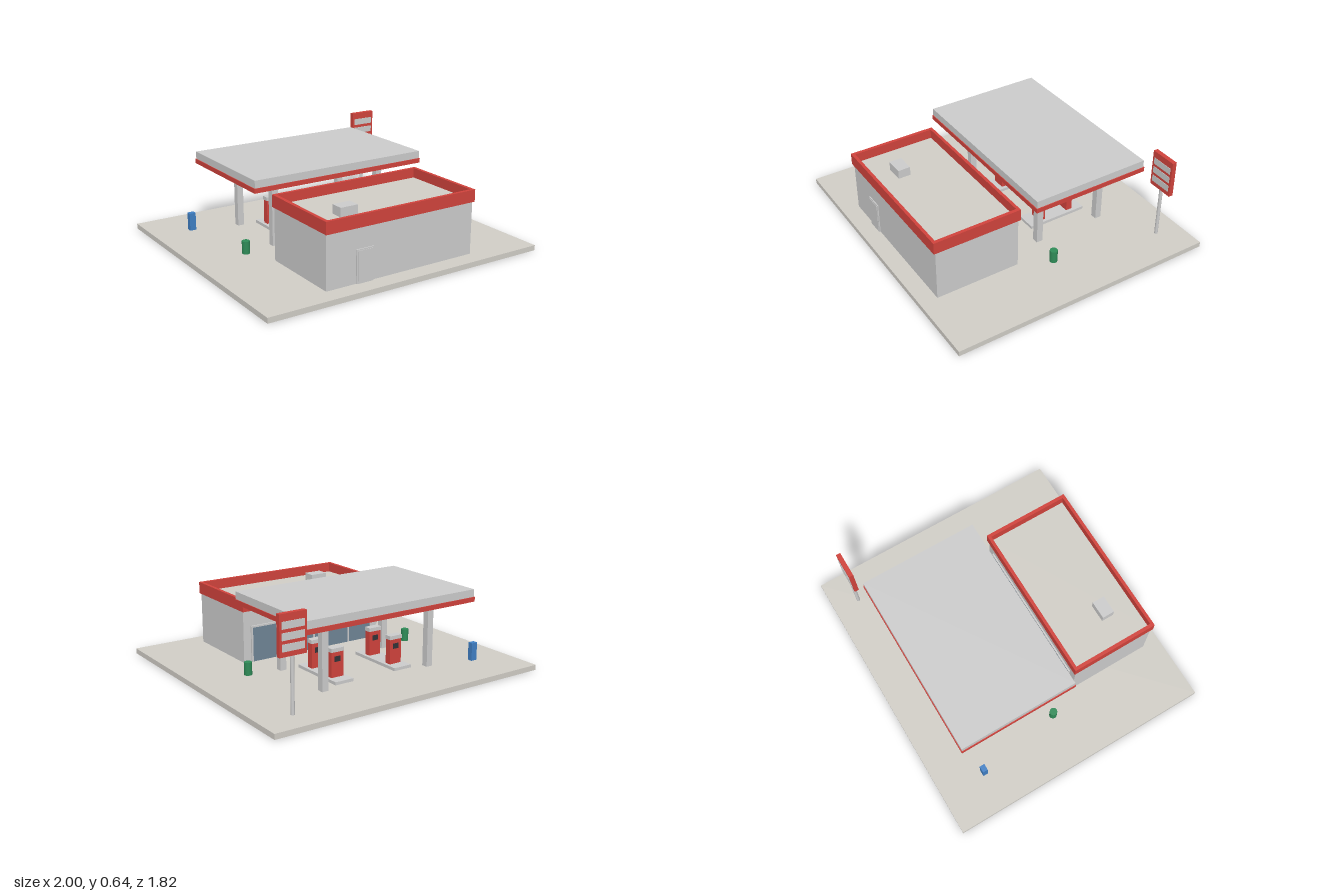
import * as THREE from 'three';

const mat = (color) => new THREE.MeshStandardMaterial({ color });

export function createModel() {
  const root = new THREE.Group();
  root.name = 'fuelStation';
  const grey = mat(0xcccccc), red = mat(0xd0433c), slab = mat(0xd0cdc6), green = mat(0x2e8b57),
    blue = mat(0x3f7fc4), glass = mat(0x6f8496), dark = mat(0x333338);

  const group = (name) => {
    const g = new THREE.Group();
    g.name = name;
    root.add(g);
    return g;
  };
  // box given by its limits on each axis
  const box = (parent, name, m, x0, x1, y0, y1, z0, z1) => {
    const b = new THREE.Mesh(new THREE.BoxGeometry(x1 - x0, y1 - y0, z1 - z0), m);
    b.position.set((x0 + x1) / 2, (y0 + y1) / 2, (z0 + z1) / 2);
    b.name = name;
    parent.add(b);
    return b;
  };
  const cylinder = (parent, name, m, r, y0, y1, x, z, sides) => {
    const c = new THREE.Mesh(new THREE.CylinderGeometry(r, r, y1 - y0, sides), m);
    c.position.set(x, (y0 + y1) / 2, z);
    c.name = name;
    parent.add(c);
    return c;
  };
  const G = 0.035; // ground level on top of the slab

  box(root, 'groundSlab', slab, -1, 1, 0, G, -0.908, 0.908);

  // Shop building
  const shop = group('shop');
  box(shop, 'walls', grey, -0.545, 0.545, G, 0.39, 0.21, 0.79);
  box(shop, 'roof', slab, -0.54, 0.54, 0.386, 0.4, 0.21, 0.79);

  // Parapet ring around the roof
  const ring = new THREE.Shape([[-0.553, -0.303], [0.553, -0.303], [0.553, 0.303], [-0.553, 0.303]]
    .map(([x, y]) => new THREE.Vector2(x, y)));
  ring.holes.push(new THREE.Path([[-0.53, -0.282], [-0.53, 0.282], [0.53, 0.282], [0.53, -0.282]]
    .map(([x, y]) => new THREE.Vector2(x, y))));
  const parapet = new THREE.Mesh(new THREE.ExtrudeGeometry(ring, { depth: 0.08, bevelEnabled: false }), red);
  parapet.rotation.x = -Math.PI / 2;
  parapet.position.set(0, 0.385, 0.5);
  parapet.name = 'parapet';
  shop.add(parapet);
  box(shop, 'roofUnit', grey, -0.338, -0.215, 0.4, 0.46, 0.545, 0.63);

  // Service door on the outer wall
  box(shop, 'serviceDoorFrame', grey, -0.336, -0.214, G, 0.25, 0.785, 0.797);
  box(shop, 'serviceDoor', grey, -0.327, -0.223, G, 0.241, 0.79, 0.8);

  // Glazed front facing the pumps
  box(shop, 'glazing', glass, -0.485, 0.485, G, 0.272, 0.203, 0.215);
  for (const x of [-0.485, -0.29, -0.09, 0, 0.09, 0.29, 0.485])
    box(shop, 'mullion', grey, x - 0.006, x + 0.006, G, 0.272, 0.199, 0.212);
  box(shop, 'glazingHead', grey, -0.491, 0.491, 0.268, 0.28, 0.199, 0.212);

  // Canopy on four columns
  const canopy = group('canopy');
  box(canopy, 'canopyRoof', grey, -0.636, 0.636, 0.5, 0.55, -0.682, 0.136);
  box(canopy, 'canopyBand', red, -0.641, 0.641, 0.469, 0.5, -0.687, 0.141);
  box(canopy, 'canopyCeiling', slab, -0.605, 0.605, 0.463, 0.47, -0.651, 0.105);
  for (const x of [-0.41, 0.41])
    for (const z of [-0.036, -0.51])
      box(canopy, 'column', grey, x - 0.022, x + 0.022, G, 0.464, z - 0.022, z + 0.022);

  // Two islands with two pumps each
  for (const x of [-0.23, 0.23]) {
    const island = group('pumpIsland');
    box(island, 'islandKerb', grey, x - 0.068, x + 0.068, G, 0.055, -0.48, -0.062);
    for (const z of [-0.163, -0.382]) {
      box(island, 'pumpBody', red, x - 0.045, x + 0.045, 0.055, 0.22, z - 0.022, z + 0.022);
      box(island, 'pumpHead', grey, x - 0.048, x + 0.048, 0.22, 0.245, z - 0.025, z + 0.025);
      box(island, 'pumpScreen', dark, x - 0.022, x + 0.022, 0.157, 0.192, z - 0.025, z + 0.025);
    }
  }

  // Bins beside the canopy
  for (const x of [-0.637, 0.637]) cylinder(root, 'bin', green, 0.026, G, 0.12, x, 0, 12);

  box(root, 'airStation', blue, -0.753, -0.709, G, 0.156, -0.61, -0.575);

  // Price sign on a pole
  const sign = group('priceSign');
  cylinder(sign, 'signPole', grey, 0.012, G, 0.4, 0.77, -0.731, 12);
  box(sign, 'signBoard', red, 0.68, 0.86, 0.39, 0.64, -0.746, -0.716);
  for (const y of [0.573, 0.508, 0.443])
    box(sign, 'signPanel', grey, 0.695, 0.845, y - 0.022, y + 0.022, -0.749, -0.713);

  return root;
}
